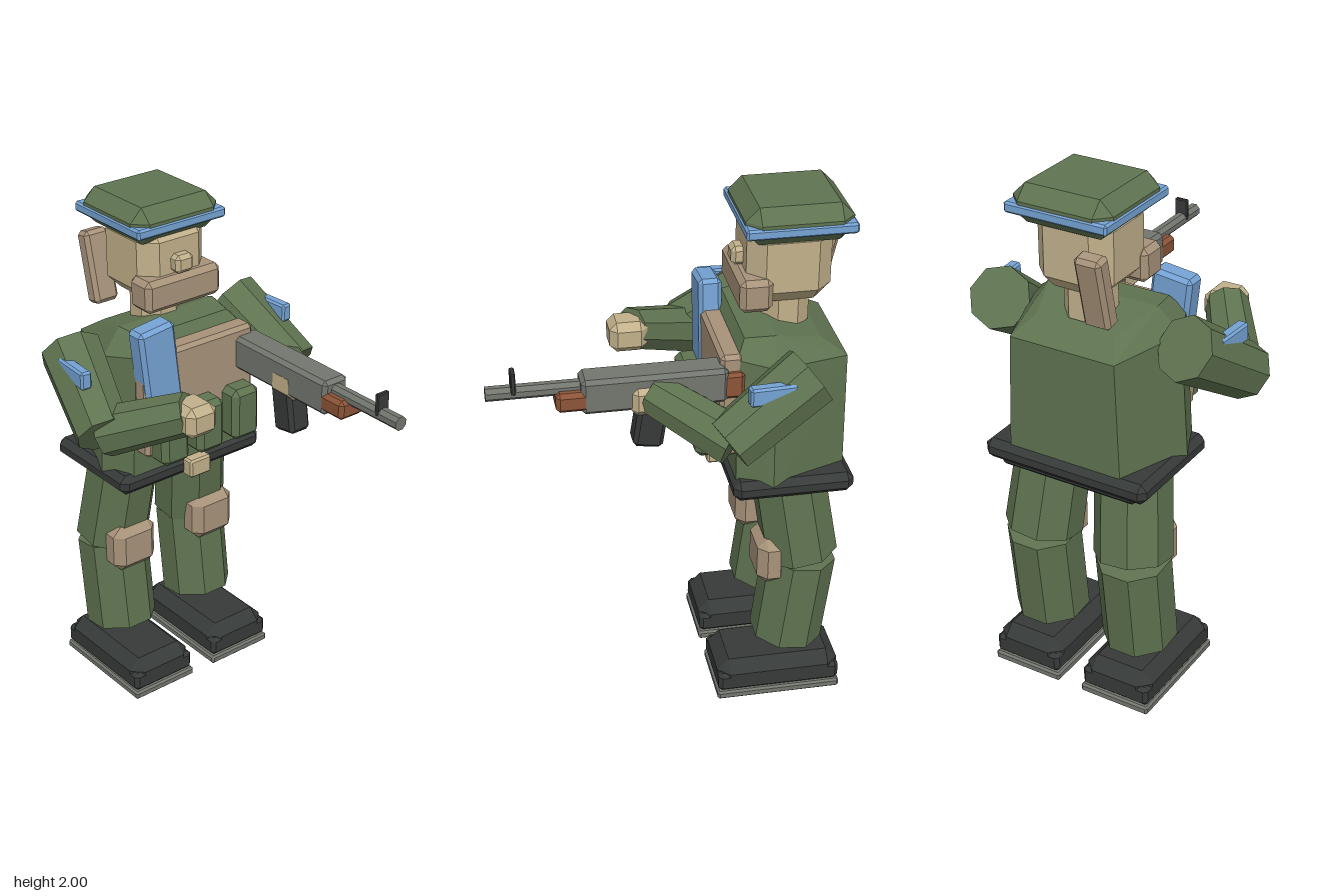
import * as THREE from 'three';
import { ConvexGeometry } from 'three/addons/geometries/ConvexGeometry.js';

const paint = (color) => new THREE.MeshStandardMaterial({ color, flatShading: true });
const green = paint(0x5f7350), tan = paint(0xa8937a), skin = paint(0xc2b18b);
const dark = paint(0x363a38), blue = paint(0x75a3d4), wood = paint(0x8c5438);
const metal = paint(0x73766f);

export function createModel() {
  const model = new THREE.Group();

  function add(name, geometry, material, x = 0, y = 0, z = 0) {
    const mesh = new THREE.Mesh(geometry, material);
    mesh.name = name;
    mesh.position.set(x, y, z);
    model.add(mesh);
    return mesh;
  }

  // Box with chamfered edges, given by its ranges on each axis
  function block(name, material, [x0, x1], [y0, y1], [z0, z1], c = 0.015) {
    const a = (x1 - x0) / 2, b = (y1 - y0) / 2, d = (z1 - z0) / 2;
    const points = [];
    for (const i of [-1, 1]) for (const j of [-1, 1]) for (const k of [-1, 1]) {
      points.push(
        new THREE.Vector3(i * a, j * (b - c), k * (d - c)),
        new THREE.Vector3(i * (a - c), j * b, k * (d - c)),
        new THREE.Vector3(i * (a - c), j * (b - c), k * d));
    }
    return add(name, new ConvexGeometry(points), material, (x0 + x1) / 2, (y0 + y1) / 2, (z0 + z1) / 2);
  }

  // Eight-sided limb between two points
  function limb(name, material, from, to, r0, r1 = r0) {
    const a = new THREE.Vector3(...from), b = new THREE.Vector3(...to);
    const dir = b.clone().sub(a);
    const geometry = new THREE.CylinderGeometry(r1, r0, dir.length(), 8).rotateY(Math.PI / 8);
    const mid = a.clone().add(b).multiplyScalar(0.5);
    const mesh = add(name, geometry, material, mid.x, mid.y, mid.z);
    mesh.quaternion.setFromUnitVectors(new THREE.Vector3(0, 1, 0), dir.normalize());
    return mesh;
  }

  // Cap and its band
  block('capCrown', green, [-0.645, -0.255], [1.86, 2.0], [-0.195, 0.195], 0.05);
  block('capBand', blue, [-0.65, -0.25], [1.9, 1.94], [-0.2, 0.2], 0.008);

  // Head
  block('head', skin, [-0.585, -0.275], [1.61, 1.92], [-0.15, 0.15], 0.06);
  block('jawGuard', tan, [-0.36, -0.24], [1.605, 1.73], [-0.172, 0.172], 0.02);
  block('nose', skin, [-0.3, -0.233], [1.735, 1.805], [-0.04, 0.04], 0.015);
  limb('neck', skin, [-0.435, 1.5, 0], [-0.435, 1.66, 0], 0.095);
  block('earFlap', tan, [-0.645, -0.575], [1.54, 1.82], [0.08, 0.185], 0.015).rotation.z = 0.226;

  // Torso, hexagonal in plan, with sloping shoulders
  const torso = [];
  for (const s of [-1, 1]) {
    for (const [x, y, z] of [
      [-0.63, 0.94, 0.23], [-0.345, 0.94, 0.335], [-0.215, 0.94, 0.28],
      [-0.63, 1.43, 0.21], [-0.345, 1.45, 0.305], [-0.215, 1.47, 0.25],
      [-0.54, 1.49, 0.16], [-0.36, 1.54, 0.22], [-0.25, 1.53, 0.2]]) {
      torso.push(new THREE.Vector3(x, y, z * s));
    }
  }
  add('torso', new ConvexGeometry(torso), green);

  // Belt, hips and buckle
  block('belt', dark, [-0.652, -0.2], [0.915, 0.995], [-0.335, 0.335], 0.025);
  block('hips', dark, [-0.625, -0.3], [0.89, 0.95], [-0.28, 0.28], 0.015);
  block('buckle', skin, [-0.21, -0.155], [0.92, 0.995], [-0.05, 0.05], 0.008);

  // Chest gear
  block('vestPanel', tan, [-0.24, -0.155], [1.075, 1.49], [-0.255, 0.255], 0.015);
  block('chestBoard', blue, [-0.235, -0.148], [1.09, 1.6], [0.09, 0.25], 0.015).rotation.x = 0.113;
  for (const z of [-0.165, 0.005, 0.17]) {
    block('chestPouch', green, [-0.19, -0.075], [1.06, 1.27], [z - 0.063, z + 0.063], 0.022);
  }

  // Arms and legs, mirrored
  for (const s of [-1, 1]) {
    const across = (z0, z1) => (s > 0 ? [z0, z1] : [-z1, -z0]);

    limb('upperArm', green, [-0.45, 1.46, 0.378 * s], [-0.145, 1.255, 0.452 * s], 0.118, 0.105);
    limb('forearm', green, [-0.17, 1.25, 0.43 * s], [0.09, 1.37, 0.245 * s], 0.095, 0.08);
    block('hand', skin, [0.03, 0.175], [1.3, 1.42], across(0.17, 0.305), 0.028);
    const patch = block('sleevePatch', blue, [-0.38, -0.21], [1.415, 1.485], across(0.445, 0.49), 0.008);
    patch.rotation.y = -0.06 * s;

    limb('thigh', green, [-0.49, 0.59, 0.195 * s], [-0.435, 0.94, 0.165 * s], 0.147, 0.142);
    limb('shin', green, [-0.447, 0.21, 0.195 * s], [-0.49, 0.575, 0.195 * s], 0.141);
    block('kneePad', tan, [-0.43, -0.31], [0.495, 0.69], across(0.097, 0.293), 0.035);

    block('boot', dark, [-0.637, -0.157], [0.035, 0.16], across(0.055, 0.335), 0.045);
    block('bootLower', dark, [-0.637, -0.157], [0.035, 0.115], across(0.055, 0.335), 0.015);
    block('bootSole', metal, [-0.64, -0.153], [0, 0.035], across(0.05, 0.338), 0.008);
  }

  // Rifle along +x, held on the right side
  const gunZ = -0.228;
  const wide = (w) => [gunZ - w / 2, gunZ + w / 2];
  block('rifleStock', wood, [-0.24, -0.16], [1.33, 1.43], wide(0.1), 0.012);
  block('rifleBody', metal, [-0.18, 0.345], [1.32, 1.455], wide(0.115), 0.015);
  block('rifleHandguard', wood, [0.25, 0.435], [1.335, 1.41], wide(0.115), 0.015);
  limb('rifleBarrel', metal, [0.3, 1.412, gunZ], [0.677, 1.412, gunZ], 0.027);
  block('rifleSight', dark, [0.57, 0.588], [1.41, 1.495], wide(0.055), 0.004);
  block('rifleMagazine', dark, [0.04, 0.15], [1.155, 1.36], wide(0.095), 0.015).rotation.z = 0.15;

  return model;
}
